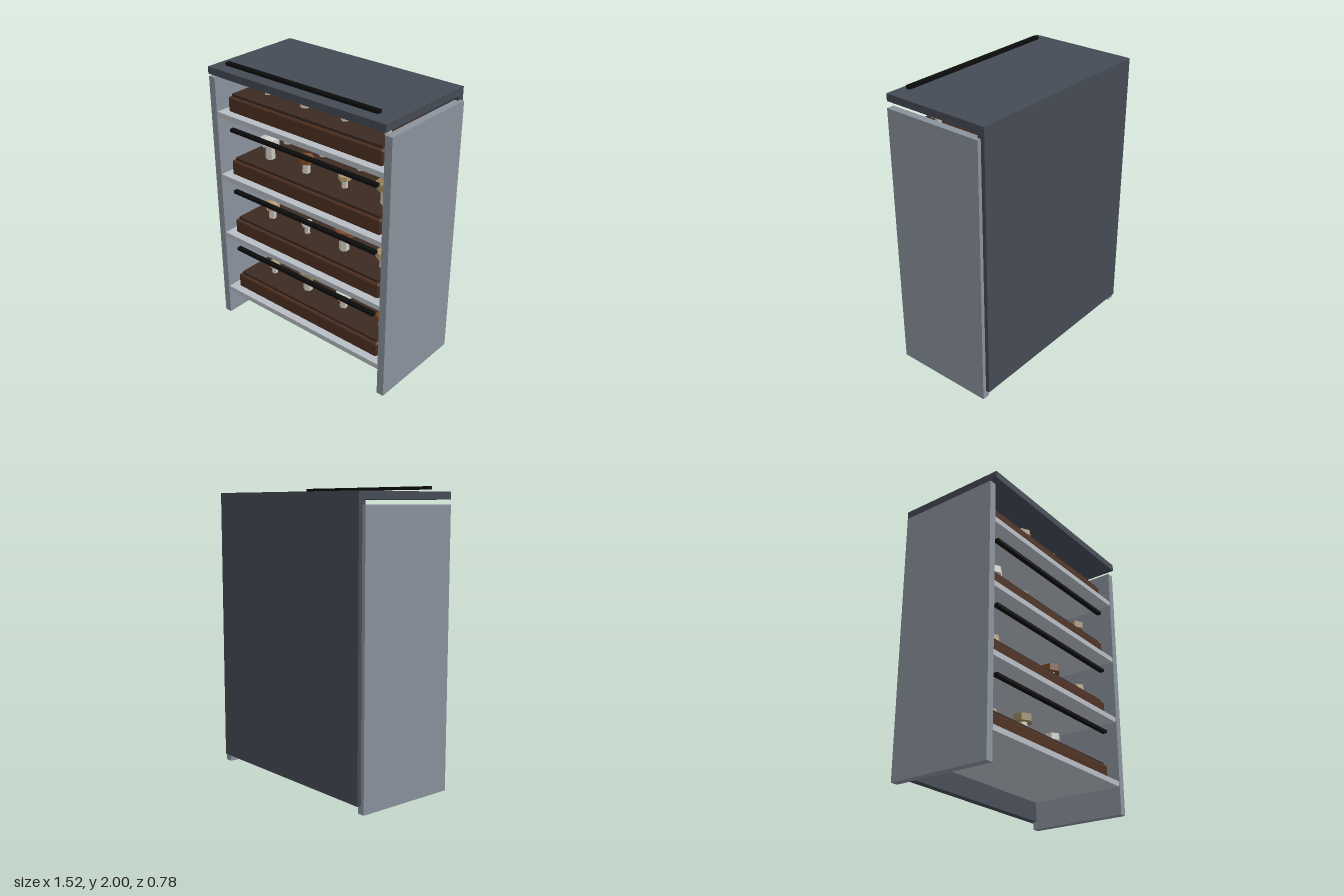
import * as THREE from 'three';
import { RoundedBoxGeometry } from 'three/addons/geometries/RoundedBoxGeometry.js';

const mat = (color, extra = {}) => new THREE.MeshStandardMaterial({ color, ...extra });

export function createModel() {
  const model = new THREE.Group();
  model.name = 'mushroomRack';

  const dark = mat(0x454b55), panel = mat(0x8a929d), metal = mat(0xb8bdc4);
  const wood = mat(0x4e3020), soil = mat(0x3b2a22), black = mat(0x0c0c0c);
  const flat = { flatShading: true };
  const stemMat = mat(0xcac6bd, flat);
  const caps = {
    tan: mat(0xb59a70, flat), gold: mat(0x9c8659, flat),
    white: mat(0xd2d2cd, flat), brown: mat(0x7a4726, flat),
  };

  // Box given by its lower and upper limits on each axis
  function box(parent, name, material, [x0, x1], [y0, y1], [z0, z1], bevel = 0) {
    const size = [x1 - x0, y1 - y0, z1 - z0];
    const geometry = bevel ? new RoundedBoxGeometry(...size, 2, bevel) : new THREE.BoxGeometry(...size);
    const mesh = new THREE.Mesh(geometry, material);
    mesh.position.set((x0 + x1) / 2, (y0 + y1) / 2, (z0 + z1) / 2);
    mesh.name = name;
    parent.add(mesh);
  }

  // Cabinet shell
  box(model, 'leftSide', panel, [0.707, 0.76], [0, 1.885], [-0.365, 0.365]);
  box(model, 'rightSide', panel, [-0.76, -0.707], [0, 1.885], [-0.365, 0.365]);
  box(model, 'backPanel', dark, [-0.733, 0.733], [0.055, 1.915], [-0.392, -0.34]);
  box(model, 'topPanel', dark, [-0.733, 0.733], [1.915, 1.965], [-0.392, 0.392]);

  // Six-sided mushroom: straight stem, banded cap with a low peak
  const sizes = {
    XL: { r: 0.068, stem: 0.105, cap: 0.07 },
    M: { r: 0.055, stem: 0.075, cap: 0.064 },
    S: { r: 0.043, stem: 0.058, cap: 0.044 },
    XS: { r: 0.04, stem: 0.058, cap: 0.043 },
  };
  function mushroom(size, color) {
    const { r, stem, cap } = sizes[size];
    const group = new THREE.Group();
    group.name = 'mushroom';
    const stemGeometry = new THREE.CylinderGeometry(r * 0.48, r * 0.52, stem + 0.01, 6);
    const stemMesh = new THREE.Mesh(stemGeometry.translate(0, stem / 2, 0), stemMat);
    stemMesh.name = 'stem';
    const profile = [[0, 0], [r, 0], [r, cap * 0.7], [0, cap]].map(p => new THREE.Vector2(...p));
    const capMesh = new THREE.Mesh(new THREE.LatheGeometry(profile, 6), caps[color]);
    capMesh.name = 'cap';
    capMesh.position.y = stem;
    group.add(stemMesh, capMesh);
    return group;
  }

  // Four tiers, bottom to top, each with four pairs of mushrooms
  const tiers = [
    [['S', 'tan'], ['XL', 'gold'], ['M', 'white'], ['S', 'brown']],
    [['M', 'tan'], ['XS', 'white'], ['XL', 'brown'], ['M', 'tan']],
    [['XL', 'white'], ['M', 'brown'], ['S', 'tan'], ['XL', 'gold']],
    [['S', 'brown'], ['XL', 'gold'], ['M', 'gold'], ['S', 'white']],
  ];
  tiers.forEach((pairs, i) => {
    const tier = new THREE.Group();
    tier.name = 'tier';
    tier.position.y = 0.232 + i * 0.4705; // shelf surface
    box(tier, 'shelf', metal, [-0.707, 0.707], [-0.037, 0], [-0.36, 0.36]);
    box(tier, 'tray', wood, [-0.65, 0.65], [0, 0.108], [-0.31, 0.31], 0.014);
    box(tier, 'soil', soil, [-0.63, 0.63], [0.09, 0.127], [-0.29, 0.29]);
    box(tier, 'lightBar', black, [-0.627, 0.627], [0.336, 0.357], [0.297, 0.331]);
    pairs.forEach(([size, color], j) => {
      const x = -0.484 + j * 0.334;
      for (const side of [-1, 1]) {
        const m = mushroom(size, color);
        m.position.set(x + side * 0.041, 0.127, 0.005 + side * 0.132);
        tier.add(m);
      }
    });
    model.add(tier);
  });

  return model;
}
